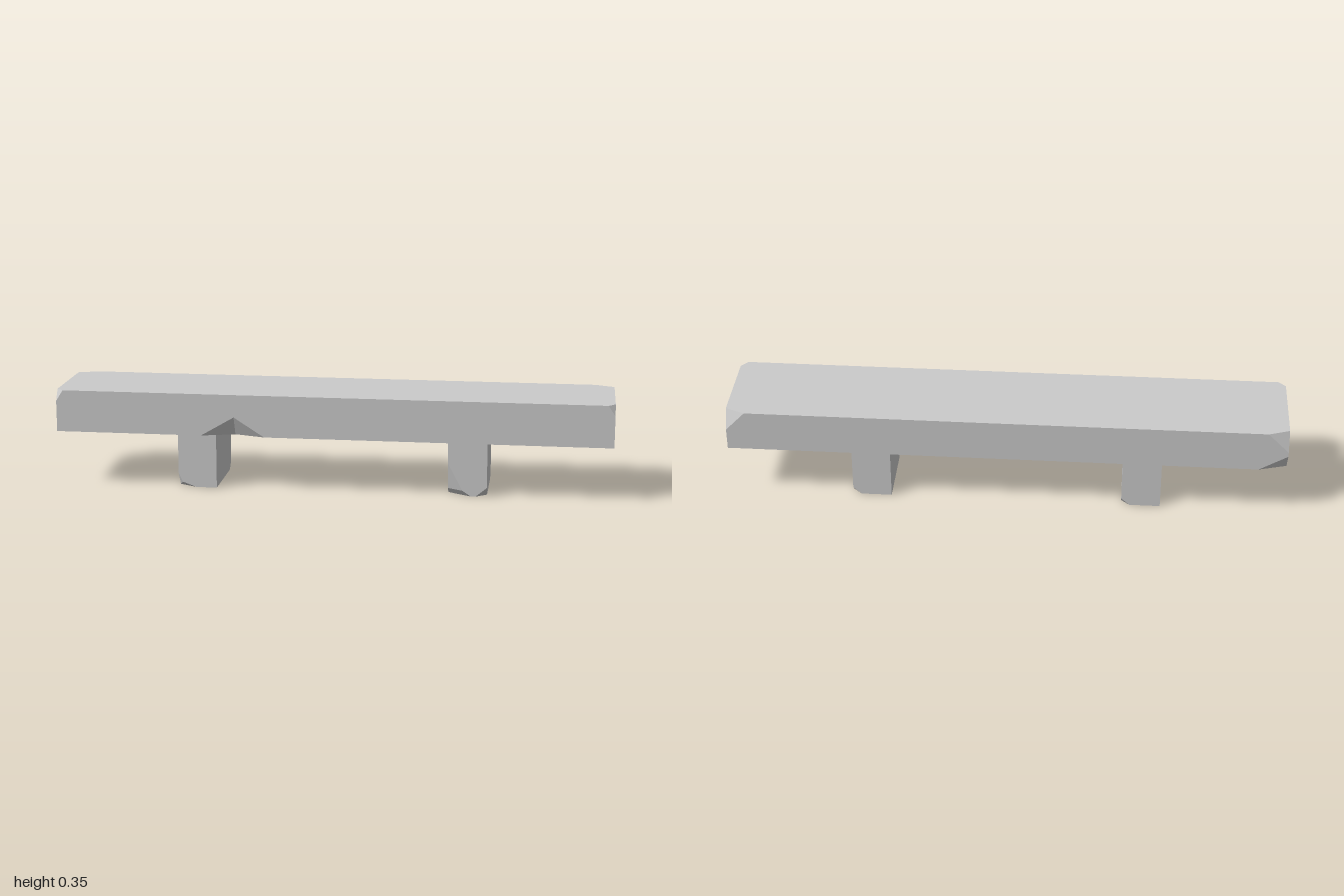
import * as THREE from 'three';
import { ConvexGeometry } from 'three/addons/geometries/ConvexGeometry.js';

const material = new THREE.MeshStandardMaterial({ color: 0xcccccc, flatShading: true });

// Box between two corners with some corners chipped off.
// chips maps a corner such as '+-+' (signs of x, y, z) to the [dx, dy, dz] cut along its edges.
function chippedBox(name, min, max, chips, extra = []) {
  const points = extra.map((p) => new THREE.Vector3(...p));
  for (const sx of '-+') for (const sy of '-+') for (const sz of '-+') {
    const key = sx + sy + sz;
    const corner = [...key].map((s, i) => (s === '+' ? max[i] : min[i]));
    const cut = chips[key];
    if (!cut) {
      points.push(new THREE.Vector3(...corner));
      continue;
    }
    for (let i = 0; i < 3; i++) {
      const p = [...corner];
      p[i] += key[i] === '+' ? -cut[i] : cut[i];
      points.push(new THREE.Vector3(...p));
    }
  }
  const mesh = new THREE.Mesh(new ConvexGeometry(points), material);
  mesh.name = name;
  return mesh;
}

export function createModel() {
  const bench = new THREE.Group();
  bench.name = 'bench';

  // Seat slab, in two halves that meet at the notch in the front lower edge
  const seat = new THREE.Group();
  seat.name = 'seat';
  const notchX = -0.35;
  seat.add(
    chippedBox('seatRightHalf', [-1, 0.2, -0.17], [notchX, 0.352, 0.17], {
      '-++': [0.025, 0.04, 0.025],
      '-+-': [0.075, 0.075, 0.027],
      '---': [0.1, 0.06, 0.03],
      '+-+': [0.12, 0.07, 0.035],
    }),
    chippedBox('seatLeftHalf', [notchX, 0.2, -0.17], [1, 0.352, 0.17], {
      '+++': [0.025, 0.037, 0.028],
      '++-': [0.07, 0.073, 0.029],
      '--+': [0.11, 0.07, 0.035],
    }),
  );
  bench.add(seat);

  // Legs, worn at the feet
  bench.add(
    chippedBox('rightLeg', [-0.56, 0, -0.142], [-0.42, 0.2, 0.142], {
      '--+': [0.065, 0.05, 0.035],
      '+--': [0.03, 0.027, 0.027],
    }, [[-0.545, 0.018, 0.142]]),
    chippedBox('leftLeg', [0.417, 0, -0.142], [0.557, 0.2, 0.142], {
      '--+': [0.083, 0.12, 0.05],
      '+-+': [0.04, 0.033, 0.033],
      '+--': [0.03, 0.027, 0.027],
    }, [[0.47, 0.02, 0.142], [0.417, 0.02, 0.11]]),
  );
  return bench;
}
